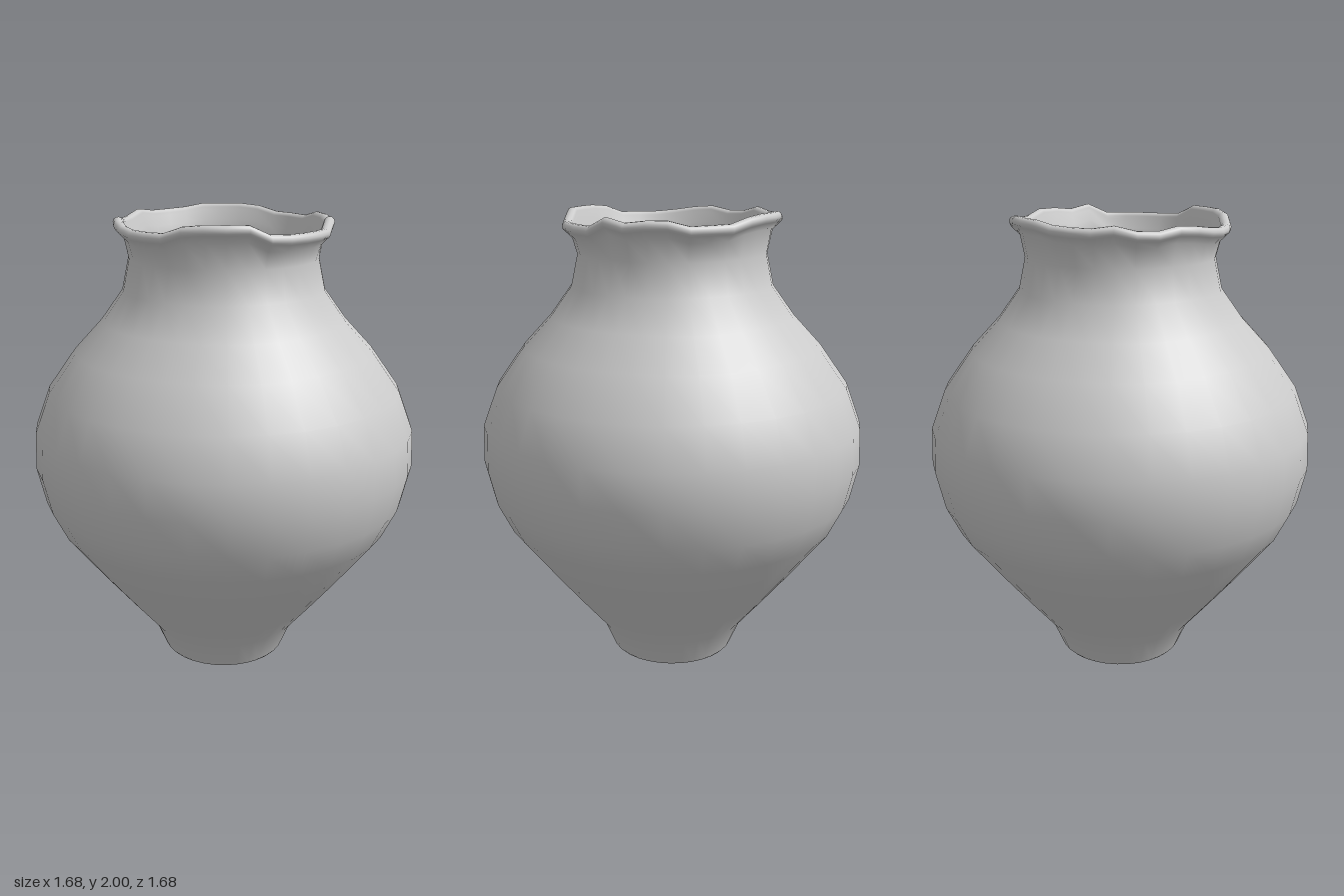
import * as THREE from 'three';
import { mergeVertices } from 'three/addons/utils/BufferGeometryUtils.js';

const SEGMENTS = 32;
const PHASE = 0.024;

// Rim height by angle in degrees, measured from +x towards +z
const RIM = [
  [0, 1.955], [20, 1.955], [31, 2], [63, 2], [78, 1.96], [104, 1.96], [118, 1.975],
  [131, 1.99], [148, 1.965], [158, 1.975], [168, 1.995], [180, 1.98], [200, 1.985], [212, 2],
  [242, 2], [257, 1.97], [282, 1.965], [296, 2], [310, 1.97], [325, 1.995],
  [336, 1.955], [360, 1.955],
];

function rimHeight(x, z) {
  const a = (THREE.MathUtils.radToDeg(Math.atan2(z, x)) + 360) % 360;
  const i = Math.max(1, RIM.findIndex(([angle]) => angle >= a));
  const [a0, h0] = RIM[i - 1];
  const [a1, h1] = RIM[i];
  return THREE.MathUtils.mapLinear(a, a0, a1, h0, h1);
}

// Revolve a profile, bend its upper edge to the rim wave, and smooth the seam
function turned(name, profile, material) {
  const points = profile.map(([r, y]) => new THREE.Vector2(r, y));
  let geometry = new THREE.LatheGeometry(points, SEGMENTS, PHASE);
  geometry.deleteAttribute('uv');
  geometry.deleteAttribute('normal');
  geometry = mergeVertices(geometry, 1e-4);
  const p = geometry.attributes.position;
  for (let i = 0; i < p.count; i++) {
    const weight = THREE.MathUtils.smoothstep(p.getY(i), 1.8, 1.93);
    if (weight > 0) p.setY(i, p.getY(i) + weight * (rimHeight(p.getX(i), p.getZ(i)) - 2));
  }
  geometry.computeVertexNormals();
  const mesh = new THREE.Mesh(geometry, material);
  mesh.name = name;
  return mesh;
}

export function createModel() {
  const vase = new THREE.Group();
  vase.name = 'vase';
  const clay = new THREE.MeshStandardMaterial({ color: 0xcccccc });

  // Outer wall, foot to neck
  const outer = [
    [0.262, 0], [0.274, 0.012], [0.325, 0.13], [0.44, 0.265], [0.56, 0.41], [0.735, 0.63],
    [0.80, 0.76], [0.838, 0.92], [0.833, 1.08], [0.77, 1.25], [0.65, 1.42],
    [0.53, 1.55], [0.437, 1.68], [0.408, 1.82], [0.428, 1.93],
  ];

  // Rounded lip, swept from underneath over the top to the inside
  const lip = [];
  for (let i = 0; i <= 8; i++) {
    const t = THREE.MathUtils.degToRad(-60 + i * 32);
    lip.push([0.447 + 0.023 * Math.cos(t), 1.978 + 0.022 * Math.sin(t)]);
  }

  // Inner wall, neck back down to the floor
  const inner = [
    [0.408, 1.93], [0.386, 1.82], [0.412, 1.68], [0.505, 1.54], [0.625, 1.41],
    [0.745, 1.24], [0.806, 1.08], [0.811, 0.92], [0.775, 0.77], [0.71, 0.64],
    [0.535, 0.42], [0.30, 0.14], [0.24, 0.03],
  ];

  vase.add(turned('body', [...outer, ...lip, ...inner], clay));

  // Flat discs closing the vase below and inside
  vase.add(turned('footBase', [[0, 0], [0.262, 0]], clay));
  vase.add(turned('insideFloor', [[0.24, 0.03], [0, 0.03]], clay));
  return vase;
}
